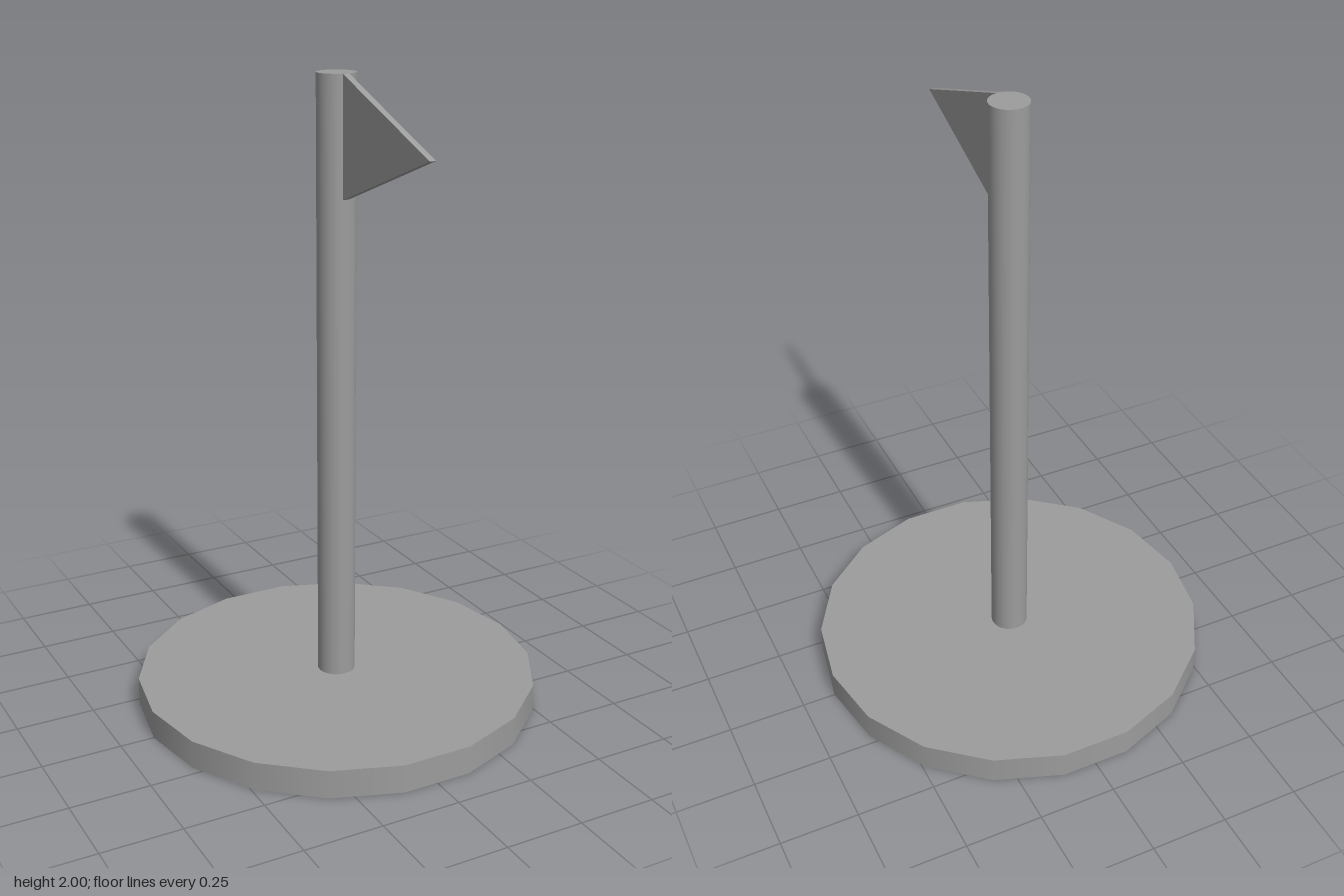
import * as THREE from 'three';

export function createModel() {
  const group = new THREE.Group();
  const material = new THREE.MeshStandardMaterial({ color: 0x9c9c9c });

  const add = (name, geometry, y = 0) => {
    const mesh = new THREE.Mesh(geometry, material);
    mesh.name = name;
    mesh.position.y = y;
    group.add(mesh);
  };

  // Round foot: 18-sided disc with a corner on the x axis
  const baseHeight = 0.09;
  add('base', new THREE.CylinderGeometry(0.642, 0.642, baseHeight, 18, 1, false, Math.PI / 2), baseHeight / 2);

  // Upright pole standing on the foot
  const poleHeight = 2 - baseHeight;
  add('pole', new THREE.CylinderGeometry(0.06, 0.06, poleHeight, 32), baseHeight + poleHeight / 2);

  // Thin triangular pennant pointing forward, its inner edge against the pole
  const thickness = 0.02;
  const outline = new THREE.Shape([
    new THREE.Vector2(0.058, 1.636),
    new THREE.Vector2(0.54, 1.818),
    new THREE.Vector2(0.058, 2),
  ]);
  const flag = new THREE.ExtrudeGeometry(outline, { depth: thickness, bevelEnabled: false });
  flag.translate(0, 0, -thickness / 2);
  flag.rotateY(-Math.PI / 2);
  add('flag', flag);

  return group;
}
